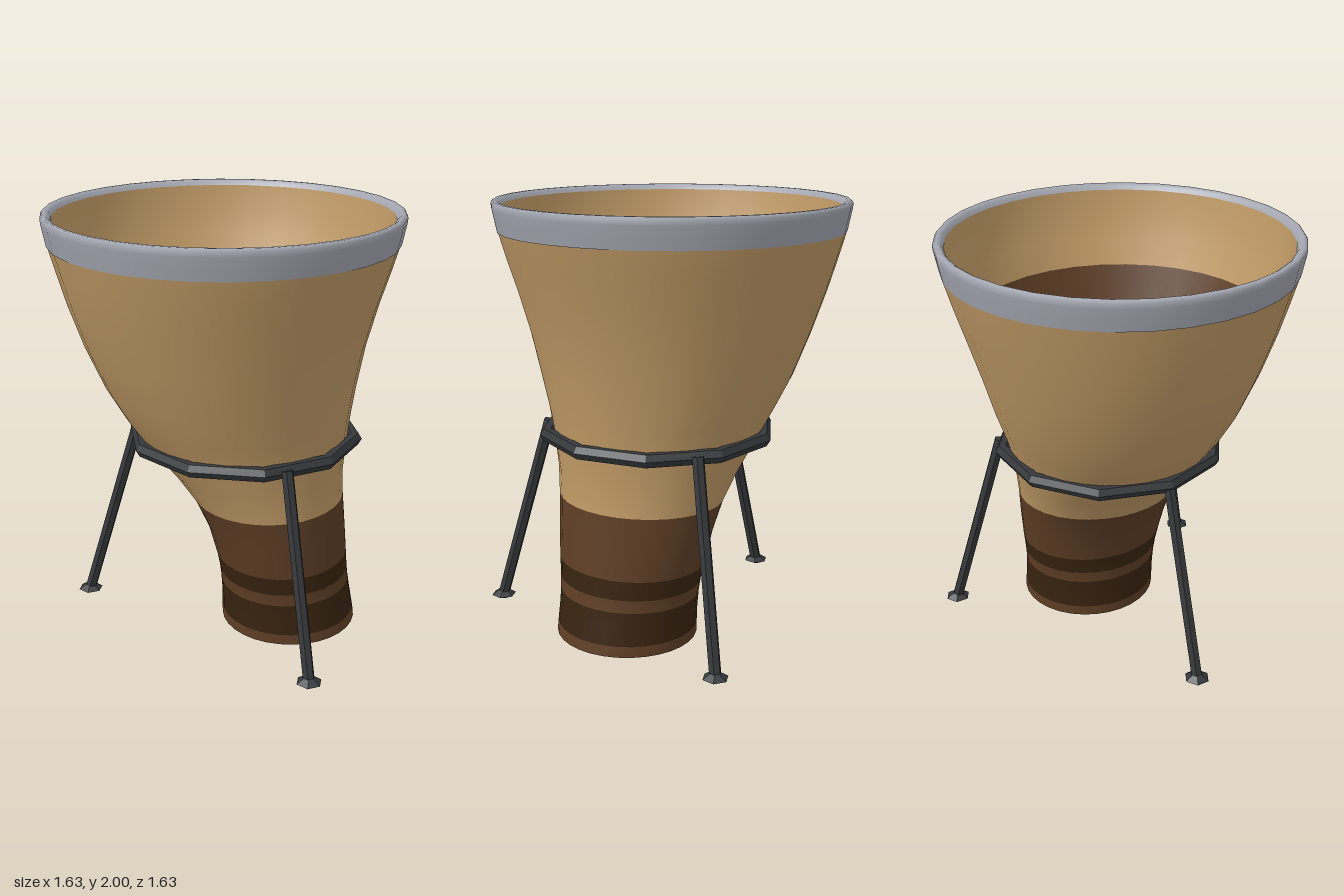
import * as THREE from 'three';

const SIDES = 32;
const paint = (name, color) => {
  const m = new THREE.MeshStandardMaterial({ color });
  m.name = name;
  return m;
};

// Smooth skin through elliptical rings [y, centreX, radiusX, radiusZ];
// slots[i] is the material slot of the strip above ring i.
function loft(rings, slots) {
  const pos = [], index = [];
  const geo = new THREE.BufferGeometry();
  for (const [y, cx, rx, rz] of rings) {
    for (let j = 0; j < SIDES; j++) {
      const a = (j / SIDES) * Math.PI * 2;
      pos.push(cx + rx * Math.cos(a), y, rz * Math.sin(a));
    }
  }
  for (let i = 0; i < rings.length - 1; i++) {
    geo.addGroup(index.length, SIDES * 6, slots ? slots[i] : 0);
    for (let j = 0; j < SIDES; j++) {
      const k = (j + 1) % SIDES;
      const a = i * SIDES + j, b = i * SIDES + k;
      index.push(a, a + SIDES, b, b, a + SIDES, b + SIDES);
    }
  }
  geo.setAttribute('position', new THREE.Float32BufferAttribute(pos, 3));
  geo.setIndex(index);
  geo.computeVertexNormals();
  return geo;
}

// Hard facets for the iron work
function faceted(geo) {
  const g = geo.index ? geo.toNonIndexed() : geo;
  g.computeVertexNormals();
  return g;
}

export function createModel() {
  const model = new THREE.Group();
  model.name = 'drumOnStand';

  const tan = paint('tanWood', 0xc09a66);
  const brown = paint('brownWood', 0x5e3e25);
  const dark = paint('darkWood', 0x38230f);
  const grey = paint('greyRim', 0xa3a6b0);
  const iron = paint('blackIron', 0x35373a);

  const add = (name, geo, mat, parent = model) => {
    const mesh = new THREE.Mesh(geo, mat);
    mesh.name = name;
    parent.add(mesh);
    return mesh;
  };

  // Outer shell: [y, left x, right x, z half-width]
  const outline = [
    [0, 0, 0.65, 0.335], [0.05, 0, 0.642, 0.335], [0.13, -0.001, 0.627, 0.335],
    [0.205, -0.006, 0.615, 0.338], [0.265, -0.013, 0.609, 0.345],
    [0.355, -0.03, 0.602, 0.36], [0.5, -0.07, 0.59, 0.382],
    [0.65, -0.142, 0.577, 0.405], [0.78, -0.24, 0.572, 0.435],
    [0.93, -0.375, 0.585, 0.48], [1.05, -0.465, 0.598, 0.525],
    [1.2, -0.555, 0.62, 0.585], [1.4, -0.645, 0.657, 0.65],
    [1.6, -0.715, 0.71, 0.715], [1.75, -0.758, 0.757, 0.762],
    [1.865, -0.79, 0.79, 0.795],
  ].map(([y, l, r, z]) => [y, (l + r) / 2, (r - l) / 2, z]);
  // Painted bands: 0 tan, 1 brown, 2 dark
  const bands = [1, 2, 2, 1, 2, 1, 1, 0, 0, 0, 0, 0, 0, 0, 0];
  add('outerShell', loft(outline, bands), [tan, brown, dark]);

  // Rolled rim
  const rim = [[1.865, 0.795], [1.92, 0.806], [1.965, 0.815], [1.988, 0.817],
    [2, 0.808], [2, 0.793], [1.992, 0.78], [1.975, 0.77]];
  add('rim', loft(rim.map(([y, r]) => [y, 0, r, r])), [grey]);

  // Inside of the bowl
  const inner = [[1.975, 0, 0.77], [1.86, 0, 0.752], [1.74, 0, 0.72],
    [1.62, 0, 0.677], [1.4, 0.01, 0.6], [1.2, 0.025, 0.52], [1.05, 0.04, 0.43]];
  add('innerBowl', loft(inner.map(([y, c, r]) => [y, c, r, r]), [0, 0, 0, 1, 1, 1]),
    [tan, brown]);

  // Flat discs closing the bowl and the foot
  const floor = add('innerFloor', new THREE.CircleGeometry(0.43, SIDES).rotateX(-Math.PI / 2), dark);
  floor.position.set(0.04, 1.05, 0);
  const base = add('baseDisc', new THREE.CircleGeometry(1, SIDES).rotateX(Math.PI / 2), dark);
  base.scale.set(0.325, 1, 0.335);
  base.position.x = 0.325;

  // Iron stand: hoop and three splayed legs
  const stand = new THREE.Group();
  stand.name = 'stand';
  model.add(stand);
  const hoop = add('hoop', faceted(new THREE.TorusGeometry(0.522, 0.034, 6, 10)
    .rotateX(Math.PI / 2)), iron, stand);
  hoop.position.set(0.1, 0.94, 0);

  const footProfile = [[0, 0.005], [0.06, 0.032], [0.02, 0.058]]
    .map(([x, y]) => new THREE.Vector2(x, y));
  const legs = [[-0.42, 0, -0.69, 0], [0.36, 0.46, 0.5, 0.68], [0.36, -0.46, 0.5, -0.68]];
  legs.forEach(([tx, tz, bx, bz], i) => {
    const leg = new THREE.Group();
    leg.name = 'leg' + (i + 1);
    stand.add(leg);
    const top = new THREE.Vector3(tx, 0.95, tz);
    const bottom = new THREE.Vector3(bx, 0.035, bz);
    const dir = top.clone().sub(bottom);
    const rod = add('rod', faceted(new THREE.CylinderGeometry(0.028, 0.028, dir.length(), 6)), iron, leg);
    rod.position.copy(top).add(bottom).multiplyScalar(0.5);
    rod.quaternion.setFromUnitVectors(new THREE.Vector3(0, 1, 0), dir.normalize());
    const foot = add('foot', faceted(new THREE.LatheGeometry(footProfile, 6)), iron, leg);
    foot.position.set(bx, 0, bz);
  });

  return model;
}
